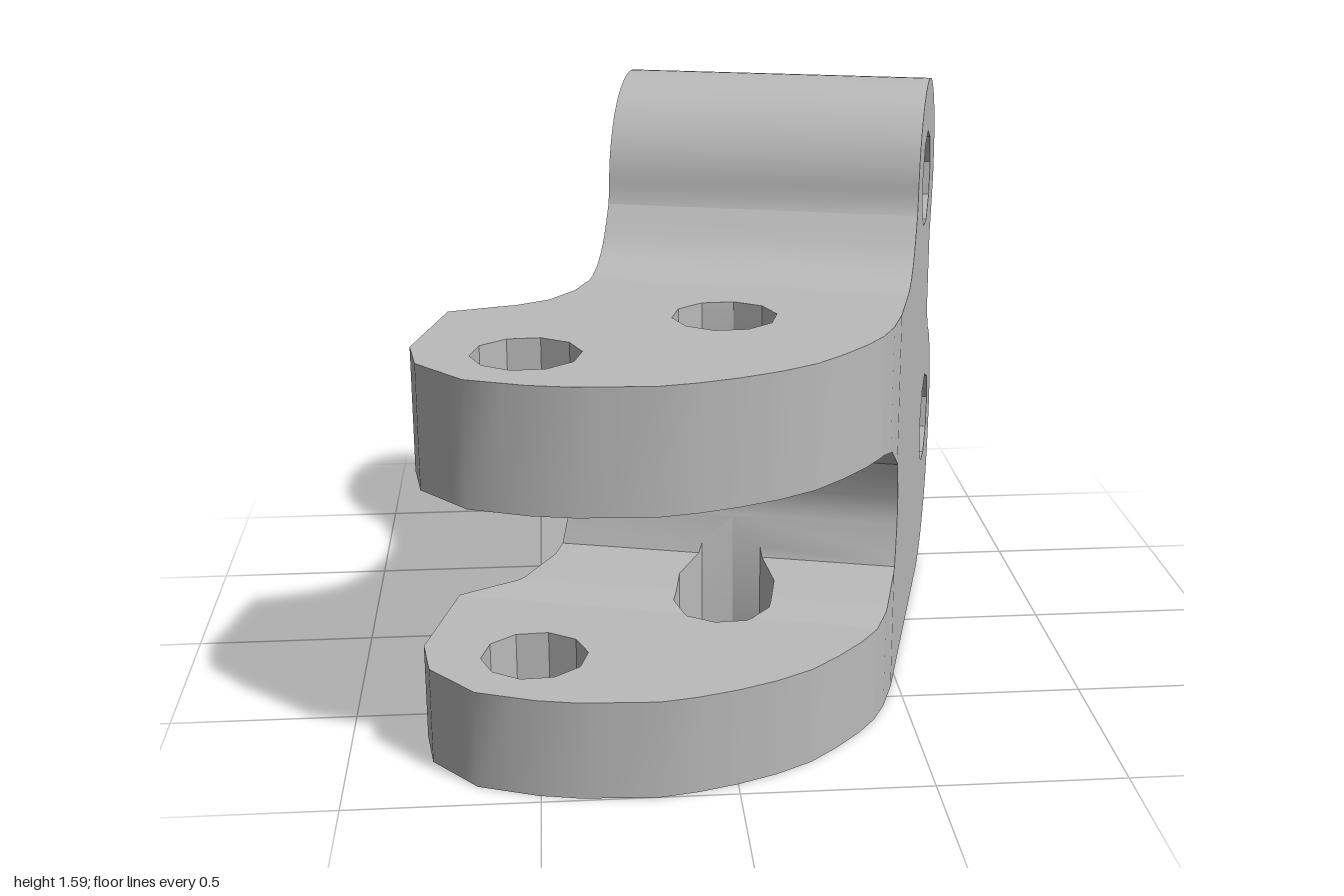
import * as THREE from 'three';
import { toCreasedNormals } from 'three/addons/utils/BufferGeometryUtils.js';

const CREASE = 0.56;
const RIGHT = 0.576, LEFT = -0.322; // side faces of the block
const SPLIT = 0.1;                  // where block and fork meet
const TOP = 1.085, MID = 0.51;      // fork height and slot centre

// Linear interpolation through [position, value] nodes
function lerpNodes(nodes, p) {
  if (p <= nodes[0][0]) return nodes[0][1];
  for (let i = 1; i < nodes.length; i++) {
    const [p0, a] = nodes[i - 1], [p1, b] = nodes[i];
    if (p <= p1) return a + (b - a) * (p - p0) / (p1 - p0);
  }
  return nodes[nodes.length - 1][1];
}

// Rear block: side profile (z, y) with two cross bores
function blockGeometry() {
  const shape = new THREE.Shape();
  shape.moveTo(SPLIT, 0);
  shape.lineTo(SPLIT, TOP);
  shape.lineTo(0.06, 1.088);
  shape.splineThru([[-0.01, 1.11], [-0.08, 1.16], [-0.15, 1.25]].map(p => new THREE.Vector2(...p)));
  // upper lobe
  shape.absarc(-0.46, 1.29, 0.30, 0.06, Math.PI + 0.2, false);
  shape.lineTo(-0.683, 1.07);
  shape.lineTo(-0.683, 0.85);
  shape.lineTo(-0.735, 0.76);
  // lower lobe
  shape.splineThru([[-0.82, 0.71], [-0.9, 0.61], [-0.941, 0.5], [-0.946, 0.4], [-0.92, 0.27],
    [-0.868, 0.16], [-0.775, 0.07], [-0.67, 0.018], [-0.57, 0]].map(p => new THREE.Vector2(...p)));
  shape.closePath();
  for (const [z, y] of [[-0.46, 1.295], [-0.682, 0.472]]) {
    const pts = [];
    for (let i = 0; i < 9; i++) {
      const a = -i * Math.PI * 2 / 9 + 0.2;
      pts.push(new THREE.Vector2(z + 0.143 * Math.cos(a), y + 0.143 * Math.sin(a)));
    }
    shape.holes.push(new THREE.Path(pts));
  }
  const geo = new THREE.ExtrudeGeometry(shape, { depth: RIGHT - LEFT, bevelEnabled: false, curveSegments: 20 });
  geo.rotateY(-Math.PI / 2).translate(RIGHT, 0, 0);
  return toCreasedNormals(geo, CREASE);
}

// Fork plan: left and right edge, slot half height, all as [z, value]
const leftEdge = [[SPLIT, LEFT], [0.214, -0.336], [0.32, -0.38], [0.391, -0.454], [0.411, -0.49],
  [0.486, -0.615], [0.816, -0.61], [0.946, -0.554], [1.05, -0.402], [1.066, -0.24]];
const rightEdge = [[SPLIT, RIGHT], [0.3, RIGHT], [0.42, 0.567], [0.505, 0.55], [0.586, 0.519], [0.68, 0.47],
  [0.77, 0.413], [0.85, 0.334], [0.918, 0.246], [0.975, 0.155], [1.018, 0.066], [1.06, -0.13], [1.066, -0.24]];
const slot = [[0.25, 0], [0.2502, 0.04], [0.29, 0.15], [0.4, 0.225], [0.49, 0.245]];

// Vertical bores, each as half width along z
const bores = [[0.116, 0.393], [-0.309, 0.818]].map(([x, z]) => {
  const nodes = [];
  for (let k = 5; k >= 0; k--) {
    const a = k * Math.PI / 5;
    nodes.push([z + 0.14 * Math.cos(a), 0.14 * Math.sin(a)]);
  }
  return { x, nodes, from: z - 0.14, to: z + 0.14 };
});

// Fork arm: strips along z, split where a bore passes
function armGeometry(low, high, innerIsTop) {
  const pos = [];
  const quad = (a, b, c, d) => pos.push(...a, ...b, ...c, ...a, ...c, ...d);
  const cuts = [leftEdge, rightEdge, slot, ...bores.map(b => b.nodes)].flat().map(n => n[0])
    .sort((a, b) => a - b).filter((p, i, all) => i === 0 || p - all[i - 1] > 1e-5);
  for (let i = 1; i < cuts.length; i++) {
    const zs = [cuts[i - 1], cuts[i]], mid = (zs[0] + zs[1]) / 2;
    const L = zs.map(z => lerpNodes(leftEdge, z)), R = zs.map(z => lerpNodes(rightEdge, z));
    const bore = bores.find(b => mid > b.from && mid < b.to);
    let spans = [[L, R]];
    if (bore) {
      const w = zs.map(z => lerpNodes(bore.nodes, z));
      spans = [[L, w.map(h => bore.x - h)], [w.map(h => bore.x + h), R]];
    }
    const y0 = zs.map(low), y1 = zs.map(high);
    const slotOpen = mid > slot[0][0];
    for (const [a, b] of spans) {
      const P = (x, y, k) => [x[k], y[k], zs[k]];
      if (slotOpen || !innerIsTop) quad(P(a, y1, 0), P(a, y1, 1), P(b, y1, 1), P(b, y1, 0));
      if (slotOpen || innerIsTop) quad(P(a, y0, 0), P(b, y0, 0), P(b, y0, 1), P(a, y0, 1));
      quad(P(a, y0, 0), P(a, y0, 1), P(a, y1, 1), P(a, y1, 0));
      quad(P(b, y0, 1), P(b, y0, 0), P(b, y1, 0), P(b, y1, 1));
    }
  }
  const geo = new THREE.BufferGeometry();
  geo.setAttribute('position', new THREE.Float32BufferAttribute(pos, 3));
  return toCreasedNormals(geo, CREASE);
}

export function createModel() {
  const metal = new THREE.MeshStandardMaterial({ color: 0xbababa });
  metal.name = 'light grey metal';
  const model = new THREE.Group();
  model.name = 'clevisBracket';

  const add = (name, geo) => {
    const mesh = new THREE.Mesh(geo, metal);
    mesh.name = name;
    model.add(mesh);
  };
  add('pivotBlock', blockGeometry());
  add('lowerForkArm', armGeometry(() => 0, z => MID - lerpNodes(slot, z), true));
  add('upperForkArm', armGeometry(z => MID + lerpNodes(slot, z), () => TOP, false));

  // the whole bracket is turned about the vertical axis
  model.rotation.y = -Math.PI / 12;
  const root = new THREE.Group();
  root.name = 'bracket';
  root.add(model);
  return root;
}
